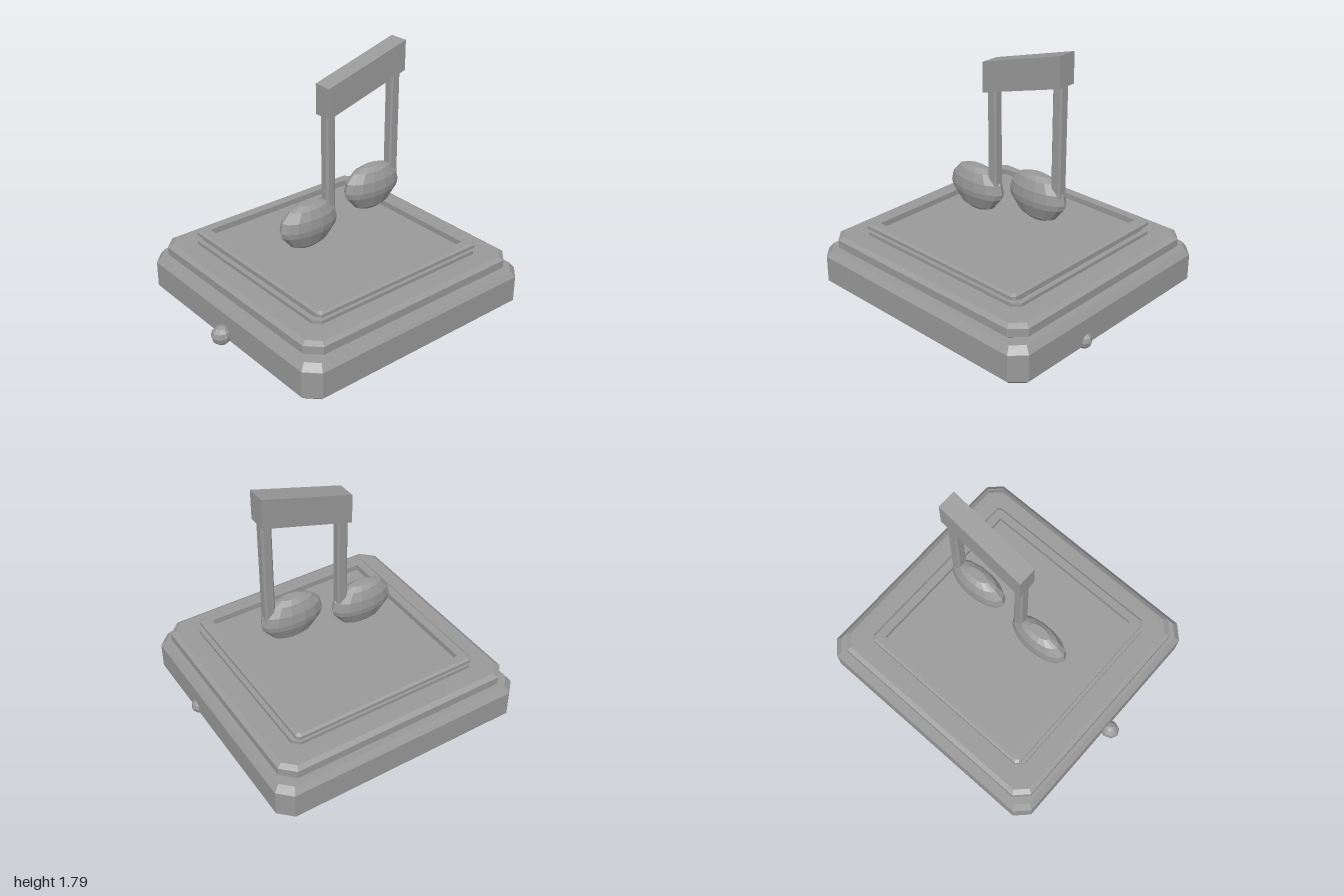
import * as THREE from 'three';

const grey = new THREE.MeshStandardMaterial({ color: 0x999999 });
grey.name = 'stone grey';

// Loft through chamfered rectangles, each ring = [y, halfX, halfZ, cornerCut]
function loft(rings) {
  const pos = [], idx = [], n = 8;
  for (const [y, hx, hz, c] of rings) {
    const pts = [[hx, hz - c], [hx, c - hz], [hx - c, -hz], [c - hx, -hz],
      [-hx, c - hz], [-hx, hz - c], [c - hx, hz], [hx - c, hz]];
    for (const [x, z] of pts) pos.push(x, y, z);
  }
  for (let r = 0; r < rings.length - 1; r++) {
    for (let i = 0; i < n; i++) {
      const a = r * n + i, b = r * n + (i + 1) % n;
      idx.push(a, b, b + n, a, b + n, a + n);
    }
  }
  const top = (rings.length - 1) * n;
  for (let i = 1; i < n - 1; i++) idx.push(0, i + 1, i, top, top + i, top + i + 1);
  return flat(new THREE.BufferGeometry()
    .setAttribute('position', new THREE.Float32BufferAttribute(pos, 3))
    .setIndex(idx));
}

// Faceted normals
function flat(geometry) {
  const g = geometry.index ? geometry.toNonIndexed() : geometry;
  g.computeVertexNormals();
  return g;
}

export function createModel() {
  const model = new THREE.Group();
  const add = (name, geometry, x, y, z) => {
    const mesh = new THREE.Mesh(geometry, grey);
    mesh.name = name;
    mesh.position.set(x, y, z);
    model.add(mesh);
    return mesh;
  };
  const cx = 0.033;

  // Stepped base
  add('base', loft([
    [0.02, 0.893, 0.865, 0.075], [0.06, 0.933, 0.905, 0.09],
    [0.245, 0.933, 0.905, 0.09], [0.29, 0.897, 0.87, 0.075]]), cx, 0, 0);
  add('step', loft([
    [0.288, 0.838, 0.808, 0.075], [0.315, 0.872, 0.842, 0.09],
    [0.37, 0.872, 0.842, 0.09], [0.39, 0.84, 0.81, 0.075]]), cx, 0, 0);
  add('plinth', loft([
    [0.388, 0.705, 0.675, 0.045], [0.415, 0.705, 0.675, 0.045],
    [0.416, 0.67, 0.645, 0.03], [0.43, 0.67, 0.645, 0.03]]), cx, 0, 0);

  // Raised rim around the recessed top panel
  add('rim', loft([
    [0.43, 0.67, 0.668, 0.02], [0.44, 0.684, 0.68, 0.02],
    [0.463, 0.684, 0.68, 0.02], [0.475, 0.668, 0.665, 0.02],
    [0.475, 0.608, 0.61, 0.001], [0.434, 0.608, 0.61, 0.001]]), cx, 0, 0);

  // Four feet
  for (const sx of [-1, 1]) for (const sz of [-1, 1]) {
    add('foot', flat(new THREE.CylinderGeometry(0.045, 0.034, 0.022, 10)),
      cx + sx * 0.622, 0.011, sz * 0.622);
  }

  // Side knobs
  const knob = (r, ry, rz) => flat(new THREE.SphereGeometry(1, 8, 6).scale(r, ry, rz));
  add('rightKnob', knob(0.075, 0.068, 0.066), -0.925, 0.092, 0.012);
  add('leftKnob', knob(0.06, 0.058, 0.052), 0.94, 0.082, 0.28);

  // Note heads: squashed faceted ovals
  const profile = [[0, -0.155], [0.08, -0.155], [0.145, -0.127], [0.218, -0.04],
    [0.23, 0.0], [0.215, 0.068], [0.155, 0.13], [0.08, 0.155], [0, 0.155]]
    .map(([r, y]) => new THREE.Vector2(r, y));
  const zc = 0.035;
  for (const [x, y] of [[-0.22, 0.675], [0.328, 0.785]]) {
    const head = new THREE.LatheGeometry(profile, 14, Math.PI / 2).scale(1, 1, 0.425);
    add('noteHead', flat(head), x, y, zc);
  }

  // Stems with cut edges
  for (const [x, y0, y1] of [[-0.053, 0.68, 1.44], [0.5, 0.79, 1.6]]) {
    add('stem', loft([[y0, 0.037, 0.037, 0.012], [y1, 0.037, 0.037, 0.012]]), x, 0, zc);
  }

  // Slanted beam joining the stems
  const beam = new THREE.Shape([[-0.098, 1.4], [0.546, 1.585], [0.546, 1.792], [-0.098, 1.607]]
    .map(([x, y]) => new THREE.Vector2(x, y)));
  add('beam', new THREE.ExtrudeGeometry(beam, { depth: 0.134, bevelEnabled: false }),
    0, 0, zc - 0.067);

  return model;
}
